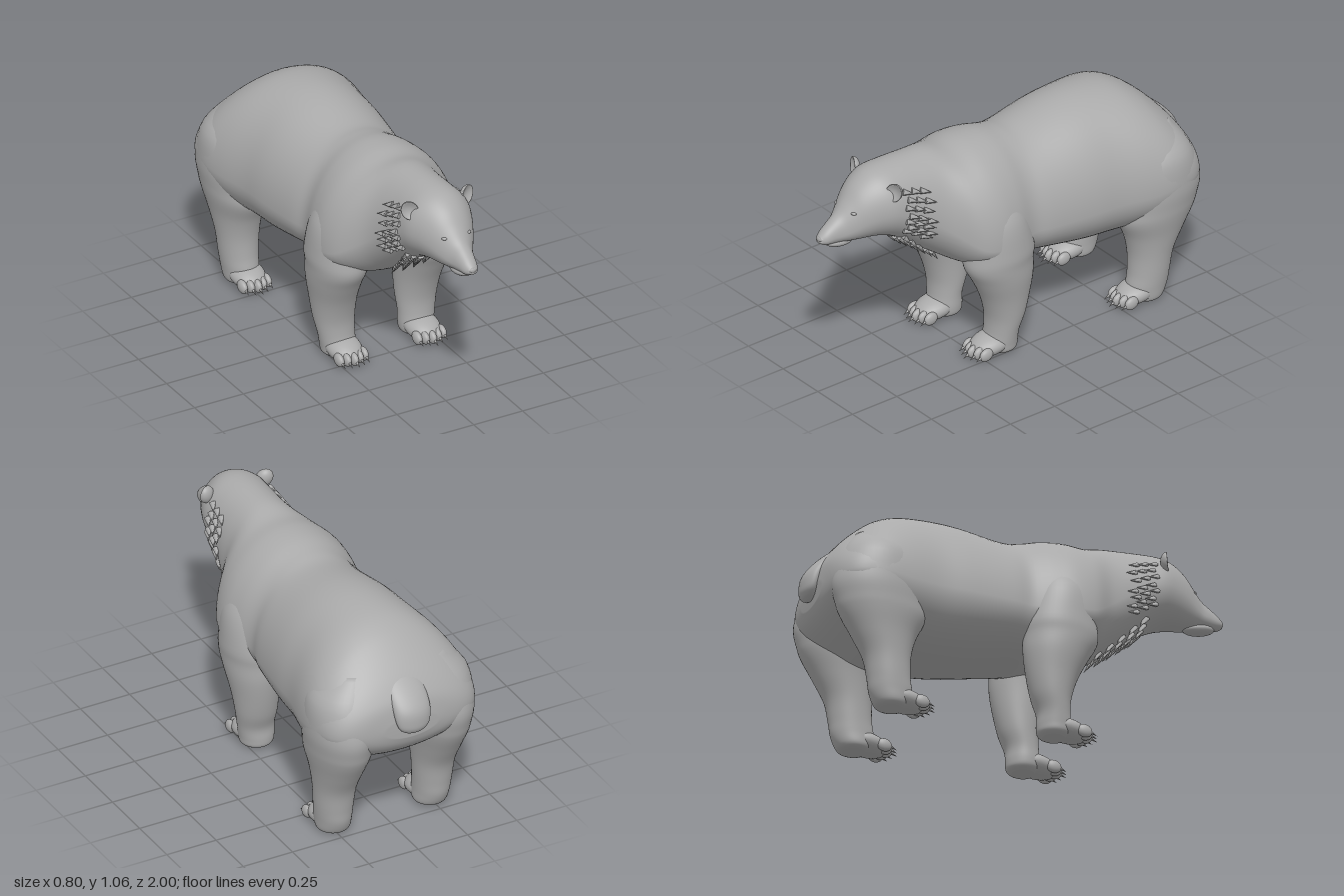
import * as THREE from 'three';

const fur = new THREE.MeshStandardMaterial({ color: 0xaaaaaa });
fur.name = 'grey fur';

// Smooth (Catmull-Rom) row of numbers at fractional index u
function sample(rows, u) {
  const n = rows.length - 1, i = Math.min(Math.floor(u), n - 1), t = u - i;
  const [a, b, c, d] = [Math.max(i - 1, 0), i, i + 1, Math.min(i + 2, n)].map(k => rows[k]);
  return b.map((p, k) => p + 0.5 * t * (c[k] - a[k] + t * (2 * a[k] - 5 * p + 4 * c[k] - d[k]
    + t * (3 * (p - c[k]) + d[k] - a[k]))));
}

// Closed skin over interpolated cross-sections
function loft(rows, point, name, steps = 5, segs = 48) {
  const pos = [], index = [], rings = (rows.length - 1) * steps + 1;
  for (let i = 0; i < rings; i++) {
    const row = sample(rows, i / steps);
    for (let j = 0; j < segs; j++) pos.push(...point(row, j / segs * Math.PI * 2));
  }
  for (let i = 0; i < rings - 1; i++) for (let j = 0; j < segs; j++) {
    const a = i * segs + j, b = i * segs + (j + 1) % segs;
    index.push(a, b, a + segs, b, b + segs, a + segs);
  }
  // end caps
  [0, rings - 1].forEach((ring, end) => {
    const c = pos.length / 3, mid = [0, 0, 0];
    for (let j = 0; j < segs; j++) for (let k = 0; k < 3; k++) mid[k] += pos[(ring * segs + j) * 3 + k] / segs;
    pos.push(...mid);
    for (let j = 0; j < segs; j++) {
      const a = ring * segs + j, b = ring * segs + (j + 1) % segs;
      index.push(c, ...(end ? [a, b] : [b, a]));
    }
  });
  const g = new THREE.BufferGeometry();
  g.setAttribute('position', new THREE.Float32BufferAttribute(pos, 3));
  g.setIndex(index);
  g.computeVertexNormals();
  return make(g, name);
}

function make(geometry, name) {
  const m = new THREE.Mesh(geometry, fur);
  m.name = name;
  return m;
}

function blob(name, p, s, rot = [0, 0, 0]) {
  const m = make(new THREE.SphereGeometry(1, 24, 16), name);
  m.position.set(...p);
  m.scale.set(...s);
  m.rotation.set(...rot);
  return m;
}

// Cone with its base at p, pointing along dir
function spike(name, p, dir, len, r, flat = 1, sides = 6) {
  const g = new THREE.ConeGeometry(r, len, sides);
  g.translate(0, len / 2, 0);
  g.scale(1, 1, flat);
  const m = make(g, name);
  m.position.set(...p);
  m.quaternion.setFromUnitVectors(new THREE.Vector3(0, 1, 0), new THREE.Vector3(...dir).normalize());
  return m;
}

// Rump to nose: z, top, bottom, height of widest point, half width
const BODY = [
  [-0.945, 0.67, 0.57, 0.62, 0.13], [-0.93, 0.74, 0.53, 0.62, 0.25], [-0.9, 0.795, 0.49, 0.62, 0.325],
  [-0.85, 0.86, 0.45, 0.62, 0.37], [-0.78, 0.93, 0.41, 0.62, 0.393], [-0.7, 0.99, 0.37, 0.61, 0.4],
  [-0.6, 1.03, 0.35, 0.6, 0.387], [-0.45, 1.045, 0.347, 0.6, 0.355], [-0.3, 1.035, 0.36, 0.6, 0.343],
  [-0.1, 1.0, 0.395, 0.6, 0.318], [0, 1.01, 0.41, 0.6, 0.298], [0.1, 1.032, 0.44, 0.6, 0.325],
  [0.2, 1.038, 0.455, 0.6, 0.338], [0.3, 1.032, 0.47, 0.62, 0.31], [0.4, 1.052, 0.53, 0.7, 0.225],
  [0.5, 1.058, 0.6, 0.78, 0.188], [0.6, 1.06, 0.675, 0.84, 0.172], [0.68, 1.055, 0.715, 0.87, 0.165],
  [0.74, 1.037, 0.73, 0.87, 0.143], [0.8, 0.995, 0.735, 0.85, 0.113], [0.85, 0.935, 0.74, 0.82, 0.083],
  [0.89, 0.888, 0.748, 0.8, 0.06], [0.93, 0.857, 0.752, 0.795, 0.047], [0.97, 0.827, 0.757, 0.787, 0.036],
  [0.995, 0.803, 0.77, 0.783, 0.02],
];
const bodyPoint = ([z, top, bottom, mid, w], a) =>
  [w * Math.cos(a), mid + Math.sin(a) * (Math.sin(a) > 0 ? top - mid : mid - bottom), z];
function onBody(z, a) {
  const i = BODY.findIndex(r => r[0] > z) - 1;
  return bodyPoint(sample(BODY, i + (z - BODY[i][0]) / (BODY[i + 1][0] - BODY[i][0])), a);
}

// Limbs, top to bottom: y, x, z, radius in x, radius in z
const FRONT_LEG = [
  [0.86, 0.17, 0.16, 0.07, 0.08], [0.72, 0.19, 0.16, 0.14, 0.145], [0.56, 0.214, 0.15, 0.138, 0.172],
  [0.48, 0.218, 0.152, 0.13, 0.172], [0.4, 0.22, 0.132, 0.12, 0.15], [0.3, 0.215, 0.115, 0.107, 0.118],
  [0.2, 0.21, 0.112, 0.097, 0.092], [0.12, 0.205, 0.125, 0.087, 0.076], [0.06, 0.2, 0.13, 0.082, 0.08],
  [0.025, 0.2, 0.13, 0.075, 0.075], [0.008, 0.2, 0.13, 0.05, 0.05],
];
const HIND_LEG = [
  [0.86, 0.19, -0.71, 0.08, 0.1], [0.75, 0.23, -0.715, 0.15, 0.17], [0.6, 0.248, -0.72, 0.152, 0.212],
  [0.5, 0.25, -0.71, 0.142, 0.207], [0.44, 0.25, -0.7, 0.133, 0.195], [0.35, 0.25, -0.695, 0.113, 0.148],
  [0.25, 0.25, -0.68, 0.097, 0.11], [0.15, 0.25, -0.67, 0.088, 0.1], [0.08, 0.248, -0.66, 0.082, 0.1],
  [0.025, 0.245, -0.655, 0.076, 0.08], [0.008, 0.245, -0.655, 0.05, 0.05],
];
const TAIL = [
  [0.88, 0, -0.79, 0.05, 0.02], [0.8, 0, -0.875, 0.085, 0.04], [0.72, 0, -0.935, 0.09, 0.048],
  [0.65, 0, -0.957, 0.08, 0.038], [0.615, 0, -0.958, 0.055, 0.028], [0.6, 0, -0.955, 0.02, 0.012],
];
const limbPoint = s => ([y, x, z, rx, rz], a) => [s * x + rx * Math.cos(a), y, z + rz * Math.sin(a)];

function paw(x, z, name) {
  const g = new THREE.Group();
  g.name = name;
  g.add(blob('instep', [0, 0.057, 0.055], [0.08, 0.05, 0.105], [0.18, 0, 0]));
  for (let i = -2; i <= 2; i++) {
    const tx = i * 0.031, tz = 0.145 - Math.abs(i) * 0.011;
    g.add(blob('toe', [tx, 0.041, tz], [0.019, 0.03, 0.036], [0.25, 0, 0]));
    g.add(spike('claw', [tx, 0.04, tz + 0.022], [0, -0.45, 1], 0.042, 0.009, 1, 8));
  }
  g.position.set(x, 0, z);
  return g;
}

// Flattened ball with the front pressed in to form a cup
function ear(s) {
  const g = new THREE.SphereGeometry(1, 32, 24), p = g.attributes.position;
  for (let i = 0; i < p.count; i++) {
    const r = Math.hypot(p.getX(i), p.getY(i));
    if (p.getZ(i) > 0) p.setZ(i, p.getZ(i) - 1.3 * Math.max(0, 1 - r * r) ** 0.8);
  }
  g.scale(0.039, 0.046, 0.03);
  g.computeVertexNormals();
  const m = make(g, 'ear');
  m.position.set(s * 0.147, 0.985, 0.685);
  m.rotation.set(-0.1, s * 0.4, -s * 0.45);
  return m;
}

export function createModel() {
  const bear = new THREE.Group();
  bear.name = 'bear';
  bear.add(loft(BODY, bodyPoint, 'bodyAndHead', 5, 64), loft(TAIL, limbPoint(1), 'tail'));

  // face
  bear.add(blob('lowerJaw', [0, 0.748, 0.885], [0.042, 0.025, 0.075], [-0.12, 0, 0]));
  bear.add(blob('nose', [0, 0.79, 0.98], [0.027, 0.018, 0.02]));

  for (const s of [1, -1]) {
    bear.add(loft(FRONT_LEG, limbPoint(s), 'frontLeg'), loft(HIND_LEG, limbPoint(s), 'hindLeg'));
    bear.add(paw(s * 0.2, 0.13, 'frontPaw'), paw(s * 0.245, -0.655, 'hindPaw'));
    bear.add(ear(s));
    bear.add(blob('eye', [s * 0.062, 0.897, 0.846], [0.013, 0.007, 0.009], [0, s * 0.5, 0]));
    bear.add(blob('nostril', [s * 0.014, 0.782, 0.99], [0.009, 0.008, 0.008]));

    // cheek ruff: staggered rows of pointed locks
    const ruff = new THREE.Group();
    ruff.name = 'cheekRuff';
    for (let r = 0; r < 7; r++) for (let c = 0; c < 3; c++) {
      const [x, y, z] = onBody(0.63 - c * 0.045 - (r % 2) * 0.015, -0.55 + r * 0.19);
      ruff.add(spike('lock', [s * (x + 0.003), y, z], [s * 0.38, -0.3, -0.85], 0.06, 0.018, 0.6));
    }
    bear.add(ruff);
  }

  // chest ruff: locks narrowing to a point between the shoulders
  const chest = new THREE.Group();
  chest.name = 'chestRuff';
  for (let r = 0; r < 5; r++) {
    const n = 7 - r;
    for (let c = 0; c < n; c++) {
      const k = c - (n - 1) / 2;
      const p = onBody(0.6 - r * 0.05, -Math.PI / 2 + k * 0.23);
      chest.add(spike('lock', p, [k * 0.07, -0.75, -0.5], 0.065, 0.02, 0.6));
    }
  }
  bear.add(chest);
  return bear;
}
